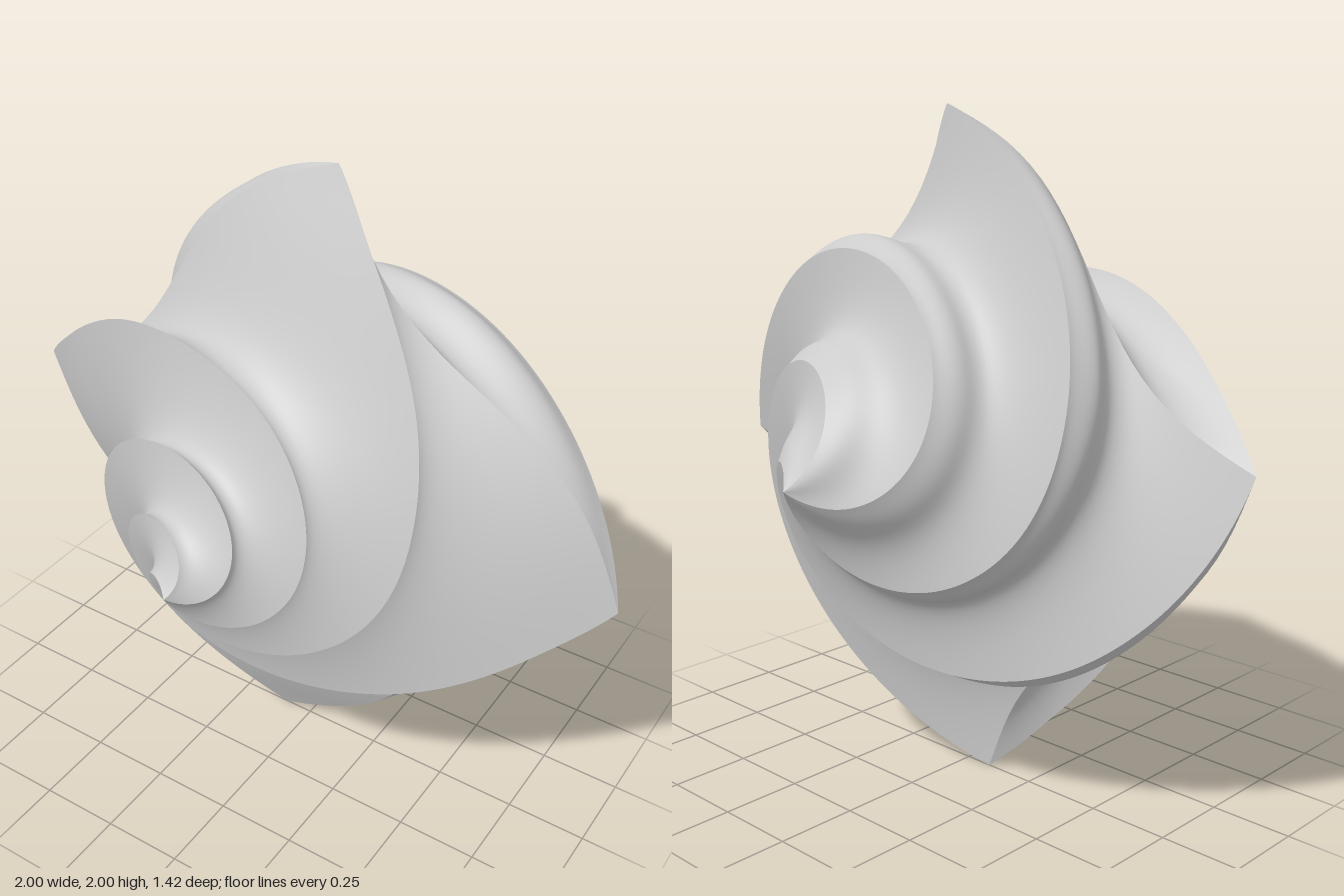
import * as THREE from 'three';

const RADIUS = 1.003, HEIGHT = 0.71;
const START = THREE.MathUtils.degToRad(-5);
const RINGS = 130, STEPS = 28;
const { smoothstep, lerp } = THREE.MathUtils;

// Twist profiles: x = fraction of the way to the apex, y = turn in degrees
const frontTwist = new THREE.SplineCurve([
  [0, 0], [0.15, 13], [0.29, 33], [0.443, 65], [0.57, 108], [0.684, 156],
  [0.834, 231], [0.946, 287], [1, 312],
].map(([u, a]) => new THREE.Vector2(u, a)));
const backTwist = new THREE.SplineCurve([
  [0, 0], [0.14, 24], [0.235, 43], [0.37, 75], [0.52, 117], [0.68, 160],
  [0.85, 200], [1, 232],
].map(([u, a]) => new THREE.Vector2(u, a)));

// One twisted side of a four-ridged spiral, from the waist (u = 0) to the apex (u = 1).
// Between ridges the section bows outward (bow) and leans into an S (swirl).
function twistedSide(k, dir, twist, bow, swirl) {
  const pos = [], index = [];
  for (let i = 0; i <= RINGS; i++) {
    const p = twist.getPoint(i / RINGS);
    const u = THREE.MathUtils.clamp(p.x, 0, 1);
    const r = RADIUS * (1 - u);
    const mid = START + (k + 0.5) * Math.PI / 2 - dir * THREE.MathUtils.degToRad(p.y);
    for (let j = 0; j <= STEPS; j++) {
      const t = j / STEPS;
      const out = Math.SQRT1_2 + bow(u) * Math.sin(Math.PI * t) + swirl(u) * Math.sin(2 * Math.PI * t);
      const along = Math.SQRT2 * (t - 0.5);
      pos.push(
        r * (out * Math.cos(mid) - along * Math.sin(mid)),
        1 + r * (out * Math.sin(mid) + along * Math.cos(mid)),
        dir * HEIGHT * u,
      );
    }
  }
  const w = STEPS + 1;
  for (let i = 0; i < RINGS; i++) {
    for (let j = 0; j < STEPS; j++) {
      const a = i * w + j, b = a + 1, c = a + w, d = c + 1;
      if (dir > 0) index.push(a, b, c, b, d, c);
      else index.push(a, c, b, b, c, d);
    }
  }
  const g = new THREE.BufferGeometry();
  g.setAttribute('position', new THREE.Float32BufferAttribute(pos, 3));
  g.setIndex(index);
  g.computeVertexNormals();
  return g;
}

export function createModel() {
  const model = new THREE.Group();
  model.name = 'twistedSpinningTop';
  const material = new THREE.MeshStandardMaterial({ color: 0xcccccc });

  // Tight front spiral and slower back spiral, four sharp-ridged sides each
  const halves = [
    ['frontSpiral', 1, frontTwist,
      u => 0.03 * smoothstep(u, 0.2, 0.6),
      u => lerp(0.08, 0.01, smoothstep(u, 0, 0.4))],
    ['backSpiral', -1, backTwist,
      u => 0.09 * smoothstep(u, 0, 0.25),
      u => lerp(0.08, 0.05, smoothstep(u, 0.2, 0.8))],
  ];
  for (const [name, dir, twist, bow, swirl] of halves) {
    const half = new THREE.Group();
    half.name = name;
    for (let k = 0; k < 4; k++) {
      const side = new THREE.Mesh(twistedSide(k, dir, twist, bow, swirl), material);
      side.name = `${name}Side${k + 1}`;
      half.add(side);
    }
    model.add(half);
  }
  return model;
}
